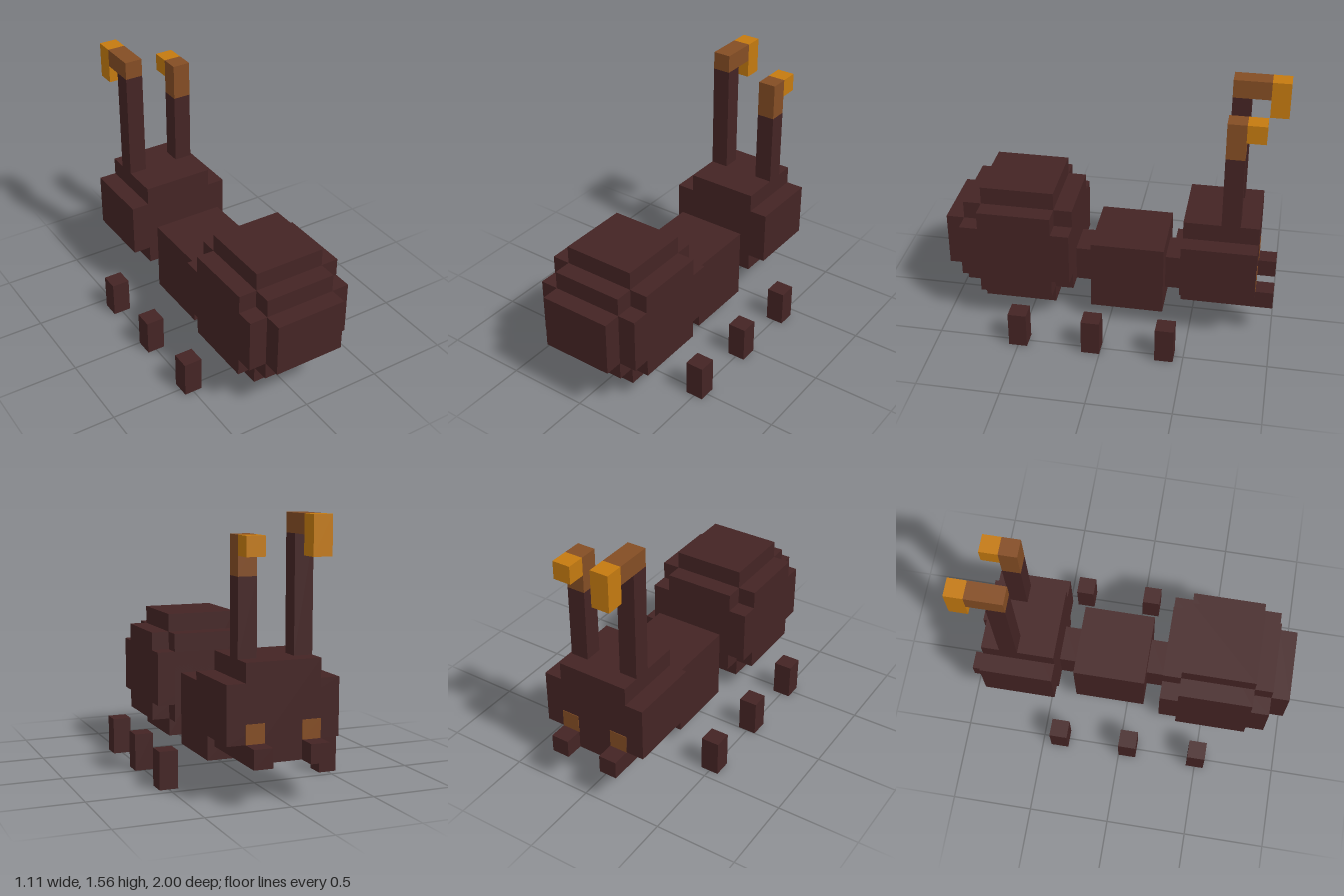
import * as THREE from 'three';

const U = 1 / 9; // one block

export function createModel() {
  const root = new THREE.Group();
  root.name = 'blockAnt';

  const shell = new THREE.MeshStandardMaterial({ color: 0x442424 });
  shell.name = 'darkShell';
  const brown = new THREE.MeshStandardMaterial({ color: 0x844d24 });
  brown.name = 'warmBrown';
  const amber = new THREE.MeshStandardMaterial({ color: 0xc47a10 });
  amber.name = 'amber';

  const group = (name) => {
    const g = new THREE.Group();
    g.name = name;
    root.add(g);
    return g;
  };

  // Box between block coordinates [x0, x1], [y0, y1], [z0, z1]
  const block = (parent, name, mat, [x0, x1], [y0, y1], [z0, z1]) => {
    const geo = new THREE.BoxGeometry((x1 - x0) * U, (y1 - y0) * U, (z1 - z0) * U);
    const mesh = new THREE.Mesh(geo, mat);
    mesh.position.set((x0 + x1) / 2 * U, (y0 + y1) / 2 * U, (z0 + z1) / 2 * U);
    mesh.name = name;
    parent.add(mesh);
  };

  // Abdomen: crossed boxes give the stepped, rounded form
  const abdomen = group('abdomen');
  block(abdomen, 'abdomenBelly', shell, [-3, 3], [3, 6], [2, 8]);
  block(abdomen, 'abdomenSides', shell, [-3, 3], [2, 7], [3, 7]);
  block(abdomen, 'abdomenCore', shell, [-2, 2], [2, 7], [2, 8]);
  block(abdomen, 'abdomenCaps', shell, [-2, 2], [1, 8], [3, 7]);
  block(abdomen, 'abdomenTip', shell, [-2, 2], [3, 6], [8, 9]);

  // Thorax and the two narrow joints
  const thorax = group('thorax');
  block(thorax, 'thoraxBody', shell, [-2, 2], [1, 5], [-3, 1]);
  block(thorax, 'waist', shell, [-1, 1], [2, 4], [1, 2]);
  block(thorax, 'neck', shell, [-1, 1], [2, 4], [-4, -3]);

  // Head
  const head = group('head');
  block(head, 'headCore', shell, [-2, 2], [2, 7], [-8, -4]);
  block(head, 'headCheeks', shell, [-3, 3], [3, 6], [-8, -4]);

  for (const [side, x] of [['left', [1, 2]], ['right', [-2, -1]]]) {
    block(head, side + 'Mandible', shell, x, [2, 3], [-9, -8]);
    block(head, side + 'Eye', brown, x, [3, 4], [-8.03, -7.99]);
  }

  // Left antenna: shorter, small tip
  const leftAntenna = group('leftAntenna');
  block(leftAntenna, 'leftStalk', shell, [1, 2], [7, 11], [-7, -6]);
  block(leftAntenna, 'leftBend', brown, [1, 2], [11, 13], [-7, -6]);
  block(leftAntenna, 'leftTip', amber, [1, 2], [12, 13], [-8, -7]);

  // Right antenna: taller, drooping tip
  const rightAntenna = group('rightAntenna');
  block(rightAntenna, 'rightStalk', shell, [-2, -1], [7, 13], [-7, -6]);
  block(rightAntenna, 'rightBend', brown, [-2, -1], [13, 14], [-8, -6]);
  block(rightAntenna, 'rightTip', amber, [-2, -1], [12, 14], [-9, -8]);

  // Six free-standing feet
  const feet = group('feet');
  for (const z of [-4, 0, 4]) {
    block(feet, 'leftFoot', shell, [4, 5], [0, 2], [z, z + 1]);
    block(feet, 'rightFoot', shell, [-5, -4], [0, 2], [z, z + 1]);
  }

  return root;
}
